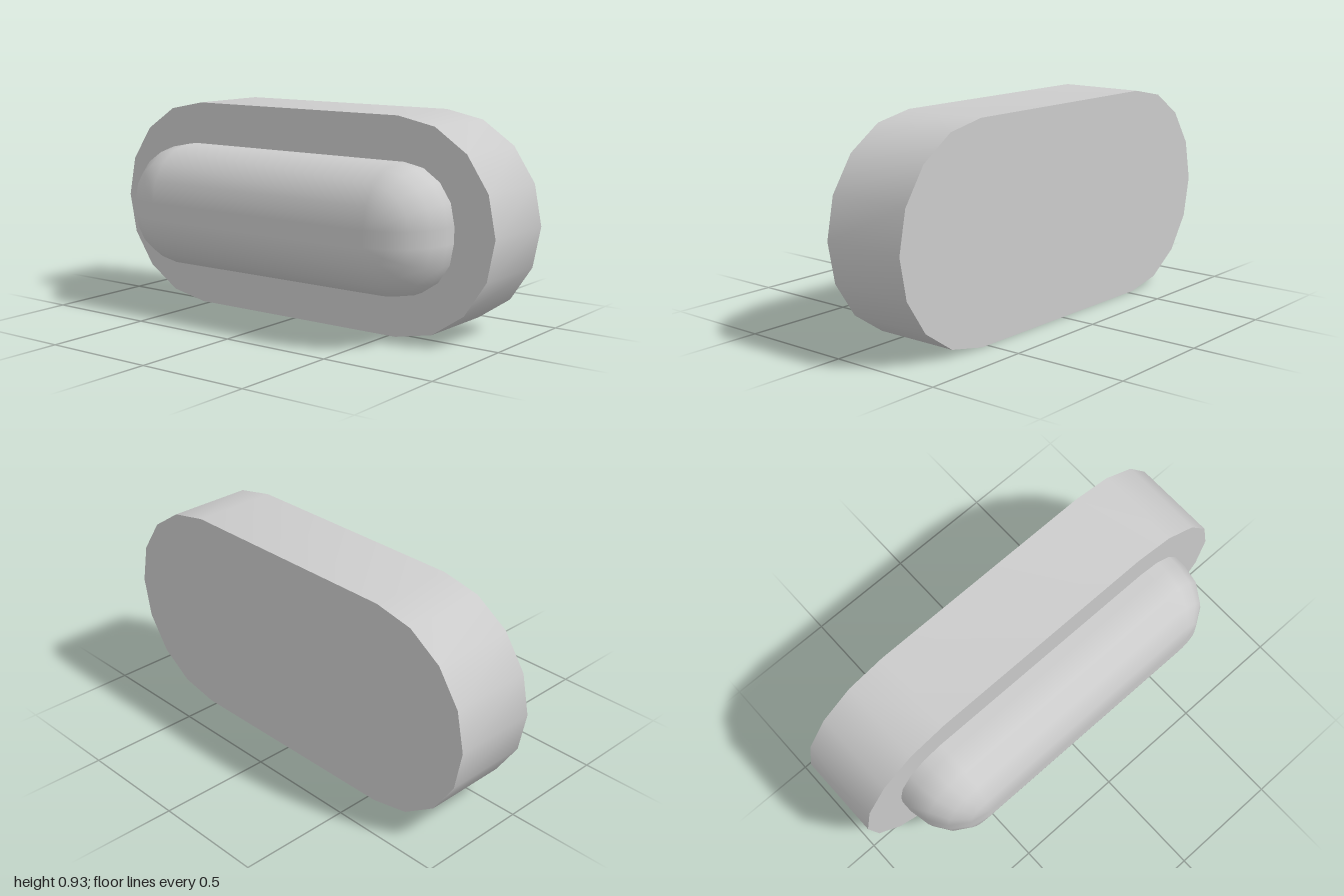
import * as THREE from 'three';
import { toCreasedNormals } from 'three/addons/utils/BufferGeometryUtils.js';

const MID_Y = 0.465;

// Thick stadium-shaped plate, extruded across x
function plateGeometry(radius, halfStraight, xMin, xMax) {
  const shape = new THREE.Shape();
  shape.absarc(halfStraight, 0, radius, -Math.PI / 2, Math.PI / 2);
  shape.absarc(-halfStraight, 0, radius, Math.PI / 2, Math.PI * 1.5);
  const geo = new THREE.ExtrudeGeometry(shape, { depth: xMax - xMin, bevelEnabled: false, curveSegments: 4 });
  geo.rotateY(-Math.PI / 2).translate(xMax, 0, 0);
  return toCreasedNormals(geo, 0.6);
}

// Half of a rounded bar bulging towards -x: rounded-rectangle rings swept from tip to base
function bulgeGeometry(radius, halfY, halfZ, xCentre, xBase) {
  const steps = 4, n = 4 * (steps + 1);
  const pos = [], nor = [], index = [];
  const addRing = (lat, x) => {
    for (let corner = 0; corner < 4; corner++) {
      const mid = (corner + 0.5) * Math.PI / 2;
      for (let k = 0; k <= steps; k++) {
        const a = (corner + k / steps) * Math.PI / 2;
        const ny = Math.cos(a) * Math.sin(lat), nz = Math.sin(a) * Math.sin(lat);
        pos.push(x, Math.sign(Math.cos(mid)) * halfY + ny * radius, Math.sign(Math.sin(mid)) * halfZ + nz * radius);
        nor.push(-Math.cos(lat), ny, nz);
      }
    }
  };
  for (let i = 0; i <= steps; i++) {
    const lat = i / steps * Math.PI / 2;
    addRing(lat, xCentre - Math.cos(lat) * radius);
  }
  addRing(Math.PI / 2, xBase);
  for (let i = 0; i <= steps; i++) {
    for (let j = 0; j < n; j++) {
      const a = i * n + j, b = i * n + (j + 1) % n;
      index.push(a, b, a + n, b, b + n, a + n);
    }
  }
  // Flat strip along the tip
  const c = steps + 1;
  index.push(0, 2 * c, c, 0, 3 * c, 2 * c);
  const geo = new THREE.BufferGeometry();
  geo.setAttribute('position', new THREE.Float32BufferAttribute(pos, 3));
  geo.setAttribute('normal', new THREE.Float32BufferAttribute(nor, 3));
  geo.setIndex(index);
  return geo;
}

export function createModel() {
  const group = new THREE.Group();
  const material = new THREE.MeshStandardMaterial({ color: 0xcccccc });
  const add = (name, geometry) => {
    const mesh = new THREE.Mesh(geometry, material);
    mesh.name = name;
    mesh.position.y = MID_Y;
    group.add(mesh);
  };
  add('plate', plateGeometry(0.465, 0.535, -0.045, 0.34));
  add('roundedBar', bulgeGeometry(0.242, 0.035, 0.57, -0.098, -0.04));
  return group;
}
